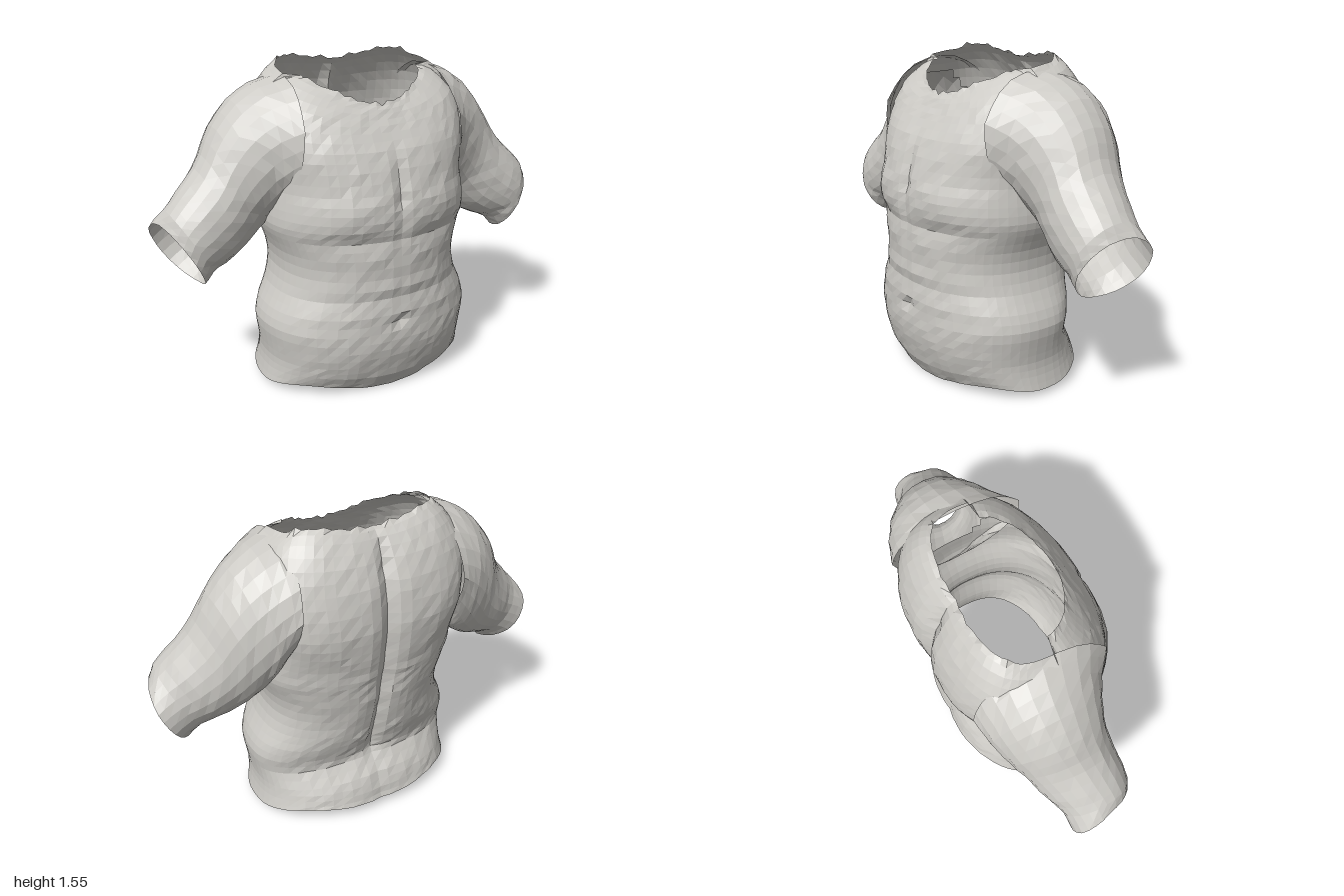
import * as THREE from 'three';

const skin = new THREE.MeshStandardMaterial({ color: 0xcccac5, flatShading: true, side: THREE.DoubleSide });
skin.name = 'pale grey';

// Small repeatable unevenness, the same on both sides
const rough = (a, b) => {
  const v = Math.sin(a * 12.9898 + b * 78.233) * 43758.5453;
  return v - Math.floor(v) - 0.5;
};
const gauss = (v, c, w) => Math.exp(-(((v - c) / w) ** 2));
const ramp = THREE.MathUtils.smoothstep;

// Resample a table of section values along its length with a smooth curve
function resample(table, count) {
  const out = [];
  for (let j = 0; j <= count; j++) {
    const t = (j / count) * (table.length - 1);
    const i = Math.min(Math.floor(t), table.length - 2), f = t - i;
    const at = (n) => table[Math.max(0, Math.min(table.length - 1, n))];
    out.push(table[i].map((p1, k) => {
      const p0 = at(i - 1)[k], p2 = at(i + 1)[k], p3 = at(i + 2)[k];
      return p1 + 0.5 * f * (p2 - p0 + f * (2 * p0 - 5 * p1 + 4 * p2 - p3 + f * (3 * (p1 - p2) + p3 - p0)));
    }));
  }
  return out;
}

// Skin over closed rings of points, open at both ends; isHole leaves quads out
function loft(rings, flip, isHole = () => false) {
  const n = rings[0].length, index = [];
  for (let j = 0; j < rings.length - 1; j++) {
    for (let k = 0; k < n; k++) {
      if (isHole(rings[j][k], rings[j + 1][(k + 1) % n])) continue;
      const a = j * n + k, b = j * n + (k + 1) % n, c = a + n, d = b + n;
      if (flip) index.push(a, b, c, b, d, c);
      else index.push(a, c, b, b, c, d);
    }
  }
  const geo = new THREE.BufferGeometry();
  geo.setAttribute('position', new THREE.Float32BufferAttribute(rings.flat(2), 3));
  geo.setIndex(index);
  geo.computeVertexNormals();
  return geo;
}

// Torso levels: front y, side y, back y, half width, front half width, front depth, back depth
const torsoLevels = [
  [0, 0.03, 0.06, 0.54, 0.54, 0.33, 0.39],
  [0.08, 0.1, 0.12, 0.525, 0.525, 0.375, 0.375],
  [0.16, 0.17, 0.2, 0.52, 0.52, 0.4, 0.345],
  [0.24, 0.25, 0.28, 0.53, 0.53, 0.415, 0.285],
  [0.33, 0.34, 0.34, 0.54, 0.54, 0.42, 0.295],
  [0.42, 0.42, 0.42, 0.515, 0.515, 0.415, 0.325],
  [0.5, 0.5, 0.5, 0.475, 0.475, 0.412, 0.345],
  [0.6, 0.6, 0.6, 0.45, 0.45, 0.415, 0.365],
  [0.7, 0.7, 0.7, 0.46, 0.46, 0.412, 0.385],
  [0.78, 0.78, 0.78, 0.49, 0.49, 0.412, 0.395],
  [0.84, 0.84, 0.84, 0.505, 0.505, 0.42, 0.405],
  [0.92, 0.92, 0.92, 0.5, 0.5, 0.42, 0.415],
  [1, 1, 1, 0.49, 0.49, 0.405, 0.425],
  [1.1, 1.1, 1.1, 0.49, 0.49, 0.38, 0.43],
  [1.18, 1.2, 1.2, 0.495, 0.495, 0.345, 0.42],
  [1.25, 1.3, 1.3, 0.495, 0.49, 0.3, 0.395],
  [1.3, 1.39, 1.39, 0.47, 0.45, 0.265, 0.355],
  [1.34, 1.46, 1.47, 0.43, 0.385, 0.24, 0.3],
  [1.365, 1.49, 1.51, 0.38, 0.3, 0.22, 0.25],
];

function torsoGeometry() {
  const rows = 36, cols = 64;
  const rings = resample(torsoLevels, rows).map(([yf, ys, yb, w, wf, zf, zb], j) => {
    const ring = [];
    for (let k = 0; k < cols; k++) {
      const a = (k / cols) * Math.PI * 2, c = Math.cos(a), s = Math.sin(a);
      const front = s > 1e-6;
      // Squarer across the upper back, rounder at the front of the neck
      const n = front
        ? 2.3 + 0.3 * ramp(ys, 1, 1.2) - 0.8 * ramp(ys, 1.38, 1.49)
        : 2.4 + 1.1 * ramp(ys, 0.85, 1.15) - 0.4 * ramp(ys, 1.38, 1.49);
      // Even columns across front and back, closer round the sides
      const u = THREE.MathUtils.lerp(Math.abs(c) ** (2 / n), Math.abs(c), s * s);
      const x = (front ? wf : w) * Math.sign(c) * u;
      let z = (front ? zf : -zb) * Math.max(0, 1 - u ** n) ** (1 / n);
      let y = ys + ((front ? yf : yb) - ys) * s * s;
      const corner = Math.sin(2 * a) ** 2;
      if (j < 4) y += 0.035 * corner * (1 - j / 4);
      if (!front && j > 30) y += 0.045 * corner * (j - 30) / 6;
      if (front) {
        // Belly ridges, two chest swells and the hollow beneath them
        const inner = gauss(Math.abs(x), 0.22, 0.17);
        if (y > 0.35 && y < 0.74) z += 0.004 * s * Math.sin(y * 48);
        z += inner * (0.014 * gauss(y, 0.92, 0.1) - 0.014 * gauss(y, 0.785, 0.035));
        // Breastbone groove and navel
        if (Math.abs(x) < 0.01) z -= 0.02 * gauss(y, 0.98, 0.16) + 0.015 * gauss(y, 0.37, 0.03);
      } else {
        // Spine furrow
        const depth = 0.01 + 0.035 * ramp(y, 0.25, 0.4) * (1 - ramp(y, 1.35, 1.5));
        z += depth * (0.5 * gauss(x, 0, 0.07) + (Math.abs(x) < 0.01 ? 0.6 : 0));
      }
      const m = k % (cols / 2);
      const mirror = Math.min(m, cols / 2 - m) + (front ? 0 : 100);
      z += rough(mirror, j) * 0.007 * Math.abs(s);
      if (j === rows) y += 0.025 * rough(mirror, 99);
      ring.push([x, Math.max(y, 0), z]);
    }
    return ring;
  });
  // Sockets where the arms open into the torso
  return loft(rings, false, (p, q) =>
    Math.abs(p[0]) > 0.42 && Math.hypot((p[1] + q[1]) / 2 - 1.2, (p[2] + q[2]) / 2 + 0.06) < 0.21);
}

// Arm sections: outer x, y, inner x, y, front z, back z
const armSections = [
  [0.375, 1.485, 0.43, 0.94, 0.265, -0.375],
  [0.5, 1.447, 0.46, 0.87, 0.2, -0.36],
  [0.615, 1.37, 0.49, 0.81, 0.165, -0.335],
  [0.71, 1.25, 0.53, 0.77, 0.145, -0.3],
  [0.775, 1.125, 0.6, 0.71, 0.15, -0.26],
  [0.87, 1.02, 0.69, 0.665, 0.16, -0.22],
  [0.94, 0.945, 0.765, 0.635, 0.16, -0.18],
  [0.98, 0.885, 0.817, 0.58, 0.15, -0.17],
];

function armGeometry(side) {
  const cols = 24, rows = 15;
  const rings = resample(armSections, rows).map(([ox, oy, ix, iy, zf, zb], j) => {
    const ring = [];
    const cuff = ramp(j, rows - 3, rows);
    for (let k = 0; k < cols; k++) {
      const a = (k / cols) * Math.PI * 2;
      const r = 1 + 0.03 * (k % (cols / 2) === 0 ? 0 : rough(k, j + 40));
      const c = Math.cos(a) * r, s = Math.sin(a) * r;
      // The cuff is cut at a slant, longer at the back
      const x = (ox + ix) / 2 + c * (ox - ix) / 2 - cuff * s * (s < 0 ? 0.06 : 0.025);
      ring.push([
        side * Math.min(1, x),
        (oy + iy) / 2 + c * (oy - iy) / 2,
        (zf + zb) / 2 + s * (zf - zb) / 2,
      ]);
    }
    return ring;
  });
  return loft(rings, side > 0);
}

export function createModel() {
  const model = new THREE.Group();
  model.name = 'torsoShell';
  const add = (name, geo) => {
    const mesh = new THREE.Mesh(geo, skin);
    mesh.name = name;
    model.add(mesh);
  };
  add('torso', torsoGeometry());
  add('leftArm', armGeometry(1));
  add('rightArm', armGeometry(-1));
  return model;
}
